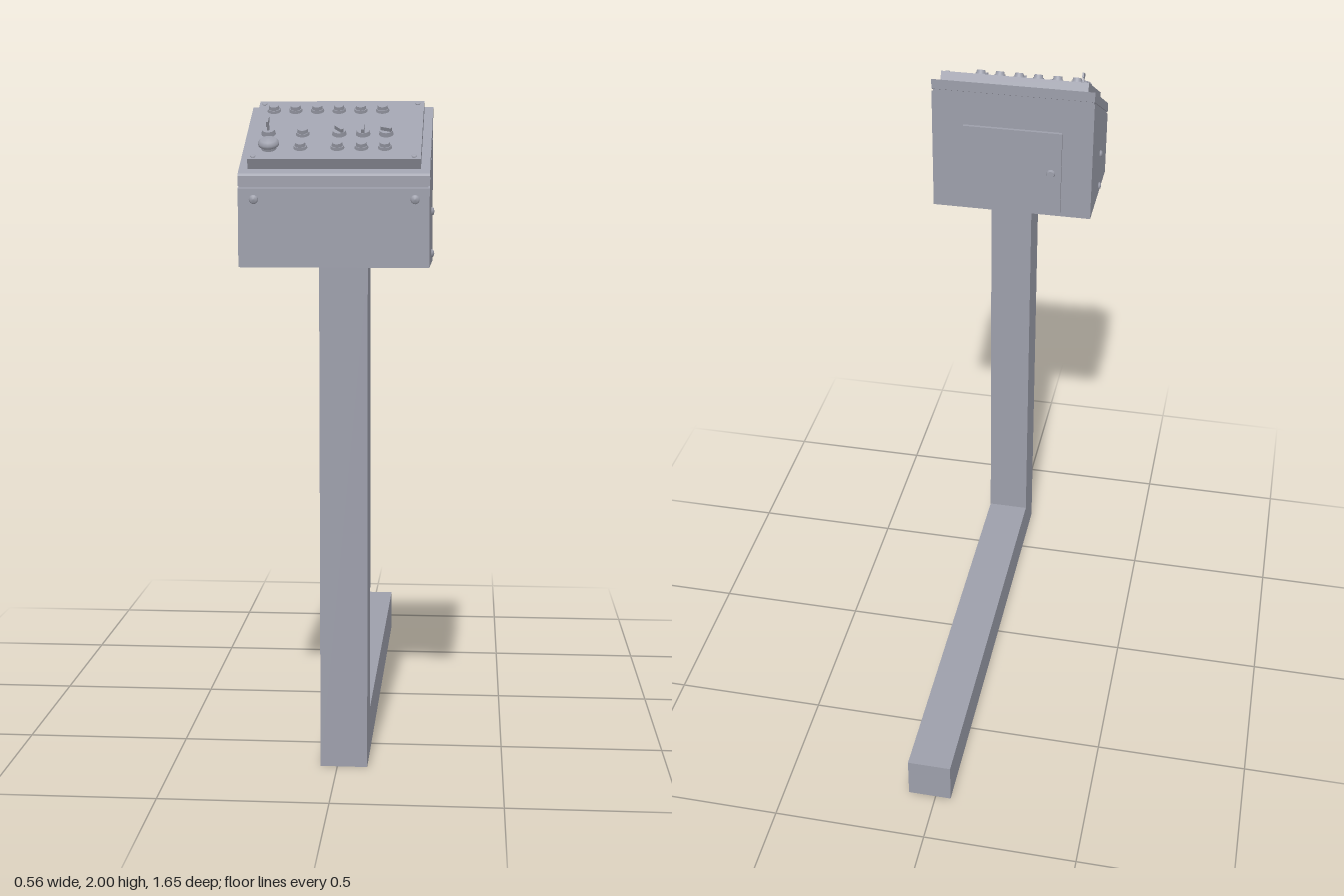
import * as THREE from 'three';

const material = new THREE.MeshStandardMaterial({ color: 0x9d9fab });
const SLOPE = Math.atan(0.55);

export function createModel() {
  const model = new THREE.Group();
  model.name = 'controlPedestal';

  const add = (parent, name, geometry, x = 0, y = 0, z = 0) => {
    const mesh = new THREE.Mesh(geometry, material);
    mesh.name = name;
    mesh.position.set(x, y, z);
    parent.add(mesh);
    return mesh;
  };
  const box = (w, h, d) => new THREE.BoxGeometry(w, h, d);
  const disc = (top, bottom, h, sides = 24) =>
    new THREE.CylinderGeometry(top, bottom, h, sides);

  // Side profile given as [z, y] points, extruded across x
  const acrossX = (points, width) => {
    const shape = new THREE.Shape(points.map(([z, y]) => new THREE.Vector2(-z, y)));
    const g = new THREE.ExtrudeGeometry(shape, { depth: width, bevelEnabled: false });
    return g.translate(0, 0, -width / 2).rotateY(Math.PI / 2);
  };

  // Domed screw head, standing along its local y
  const screwHead = (r, h) => {
    const profile = [[0.001, 0], [r, 0], [r, h * 0.4], [r * 0.75, h * 0.8], [0, h]];
    return new THREE.LatheGeometry(profile.map(([x, y]) => new THREE.Vector2(x, y)), 16);
  };

  // L-shaped stand: square tube post with a foot running backwards
  add(model, 'stand', acrossX([
    [0.707, 0], [0.707, 1.52], [0.566, 1.52], [0.566, 0.142], [-0.825, 0.142], [-0.825, 0],
  ], 0.142), 0.02);

  // Console housing, with a recessed seam below its sloped lid
  add(model, 'housing', acrossX([
    [0.815, 1.52], [0.815, 1.743], [0.455, 1.941], [0.455, 1.52],
  ], 0.544));
  add(model, 'lidSeam', acrossX([
    [0.811, 1.74], [0.811, 1.755], [0.459, 1.95], [0.459, 1.935],
  ], 0.536));
  add(model, 'lid', acrossX([
    [0.815, 1.75], [0.815, 1.778], [0.811, 1.785], [0.455, 1.982], [0.455, 1.948],
  ], 0.544));

  // Housing screws on the front and both sides
  for (const x of [-0.227, 0.231]) {
    add(model, 'frontScrew', screwHead(0.013, 0.01), x, 1.712, 0.815).rotation.x = Math.PI / 2;
  }
  for (const side of [-1, 1]) {
    for (const y of [1.553, 1.675]) {
      add(model, 'sideScrew', screwHead(0.012, 0.01), side * 0.272, y, 0.64)
        .rotation.z = -side * Math.PI / 2;
    }
  }

  // Rear access door with its lock
  add(model, 'rearDoor', box(0.335, 0.295, 0.012), -0.002, 1.682, 0.45);
  const lock = new THREE.Group();
  lock.name = 'doorLock';
  lock.position.set(-0.135, 1.682, 0.444);
  lock.rotation.x = -Math.PI / 2;
  add(lock, 'lockBody', disc(0.012, 0.015, 0.01), 0, 0.005, 0);
  add(lock, 'lockSlot', box(0.004, 0.004, 0.014), 0, 0.01, 0);
  model.add(lock);

  // Control panel: local y points out of the sloped face
  const panel = new THREE.Group();
  panel.name = 'controlPanel';
  panel.position.set(0, 1.9115, 0.6475);
  panel.rotation.x = SLOPE;
  model.add(panel);
  add(panel, 'panelPlate', box(0.492, 0.034, 0.36), 0, -0.017, 0);

  // Places a group on the panel from its plan position
  const onPanel = (name, x, z) => {
    const g = new THREE.Group();
    g.name = name;
    g.position.set(x, 0, (z - 0.6475) / Math.cos(SLOPE));
    panel.add(g);
    return g;
  };

  for (const x of [-0.231, 0.227]) {
    for (const z of [0.506, 0.79]) {
      add(onPanel('panelScrew', x, z), 'screwHead', screwHead(0.008, 0.004));
    }
  }

  const addButton = (name, x, z) => {
    const g = onPanel(name, x, z);
    add(g, 'bezel', disc(0.018, 0.02, 0.008), 0, 0.004, 0);
    add(g, 'cap', disc(0.014, 0.016, 0.01), 0, 0.013, 0);
  };
  const addSelector = (x, z, turn) => {
    const g = onPanel('selectorSwitch', x, z);
    add(g, 'bezel', disc(0.018, 0.021, 0.012), 0, 0.006, 0);
    add(g, 'handle', box(0.009, 0.012, 0.032), 0, 0.017, 0).rotation.y = turn;
  };

  // Indicator lamps along the top
  for (let i = 0; i < 6; i++) addButton('indicatorLamp', -0.198 + i * 0.0645, 0.545);

  // Push buttons and selectors in two rows
  addButton('pushButton', -0.1, 0.674);
  addButton('pushButton', -0.1, 0.746);
  [0.006, 0.075, 0.142].forEach((x, i) => {
    addSelector(x, 0.674, [0.7, 0, 1.2][i]);
    addButton('pushButton', x, 0.746);
  });

  // Key switch with the key inserted
  const key = onPanel('keySwitch', -0.2, 0.672);
  add(key, 'bezel', disc(0.018, 0.021, 0.014), 0, 0.007, 0);
  add(key, 'keyBlade', box(0.006, 0.03, 0.009), 0, 0.026, 0);
  add(key, 'keyBow', box(0.006, 0.016, 0.036), 0, 0.04, 0);

  // Emergency stop mushroom
  const stop = onPanel('emergencyStop', -0.19, 0.749);
  add(stop, 'collar', disc(0.02, 0.022, 0.014), 0, 0.007, 0);
  add(stop, 'mushroomCap', screwHead(0.03, 0.02), 0, 0.012, 0);

  return model;
}
